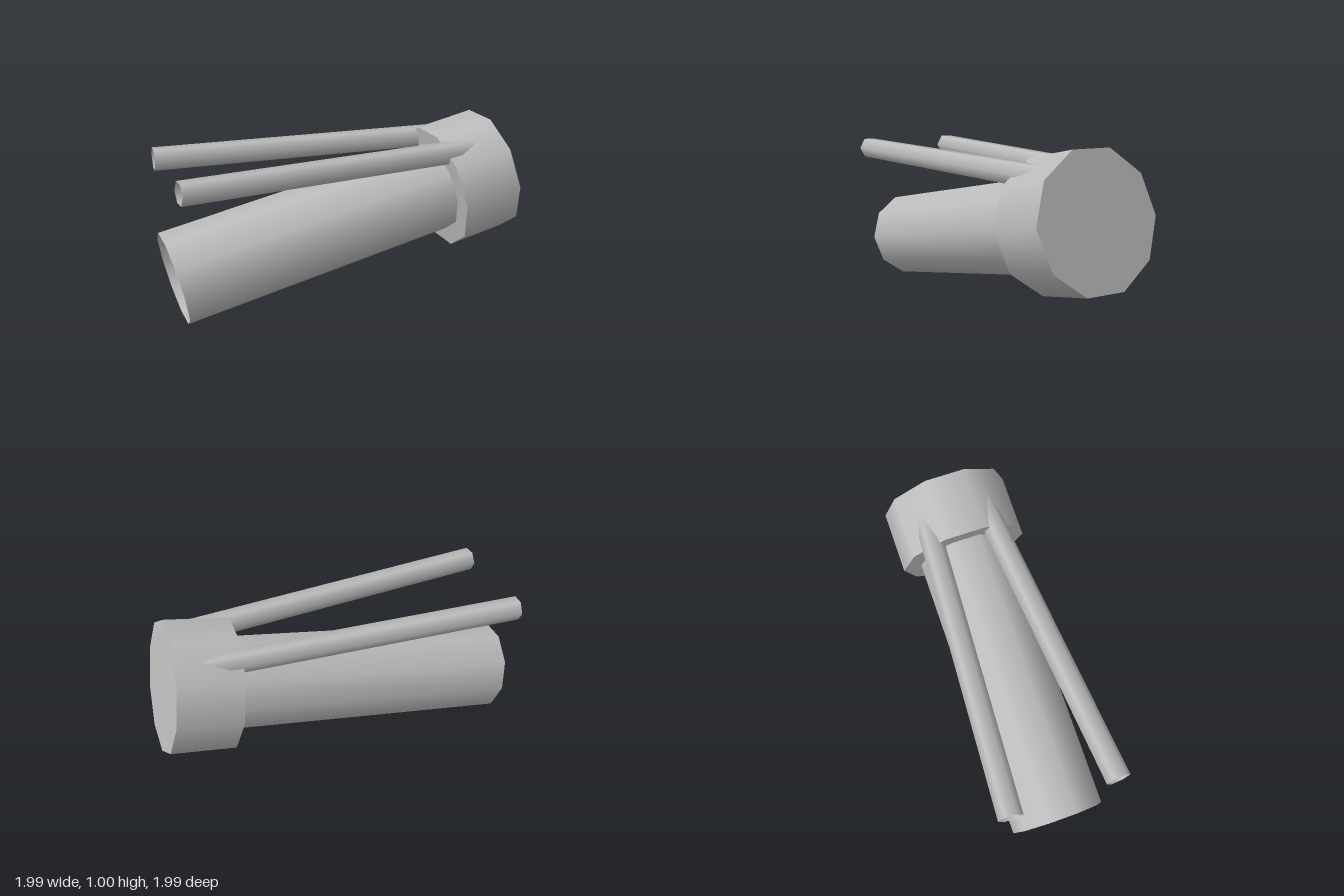
import * as THREE from 'three';

const grey = new THREE.MeshStandardMaterial({ color: 0xbcbcbc, side: THREE.DoubleSide });
grey.name = 'plain grey';

// Prism running from a to b, with a flat side facing up
function prism(name, a, b, radius, sides, open) {
  const start = new THREE.Vector3(...a);
  const end = new THREE.Vector3(...b);
  const axis = end.clone().sub(start);
  const length = axis.length();
  axis.normalize();
  const side = new THREE.Vector3().crossVectors(axis, new THREE.Vector3(0, 1, 0)).normalize();
  const up = new THREE.Vector3().crossVectors(side, axis);
  const geometry = new THREE.CylinderGeometry(radius, radius, length, sides, 1, open, Math.PI / sides);
  geometry.applyMatrix4(new THREE.Matrix4().makeBasis(side, axis, up));
  const mesh = new THREE.Mesh(geometry, grey);
  mesh.name = name;
  mesh.position.copy(start).add(end).multiplyScalar(0.5);
  return mesh;
}

export function createModel() {
  const group = new THREE.Group();
  group.name = 'barrelWithRods';

  // Hollow main barrel, open at the front
  group.add(prism('barrel', [-0.74, 0.263, 0.74], [0.48, 0.575, -0.48], 0.279, 10, true));

  // Wide solid cap at the rear
  group.add(prism('cap', [0.46, 0.57, -0.46], [0.722, 0.64, -0.722], 0.39, 10, false));

  // Two thin hollow rods converging into the cap, mirrored across the barrel
  group.add(prism('leftRod', [-0.523, 0.891, 0.951], [0.78, 0.848, -0.54], 0.069, 6, true));
  group.add(prism('rightRod', [-0.951, 0.891, 0.523], [0.54, 0.848, -0.78], 0.069, 6, true));

  return group;
}
